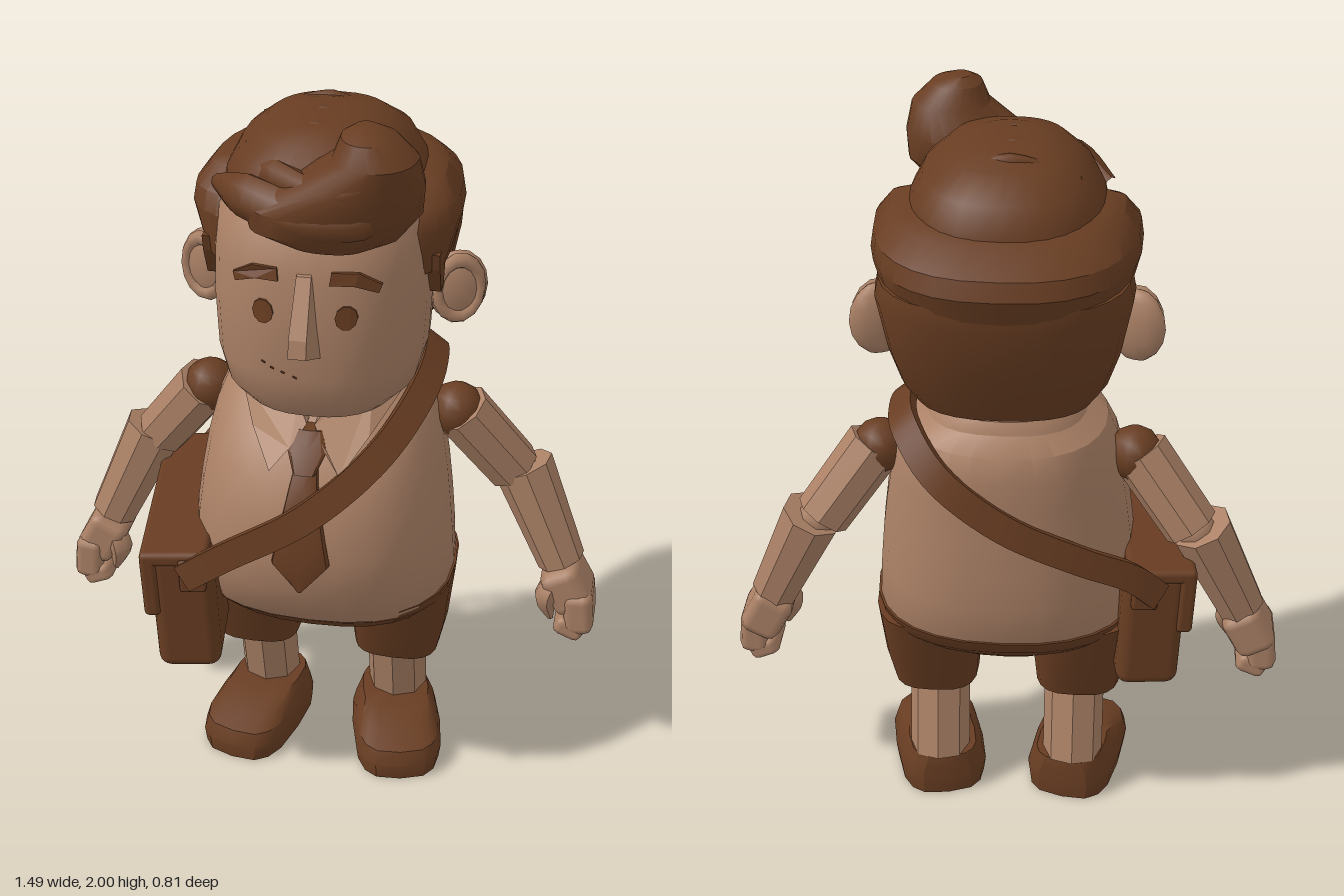
import * as THREE from 'three';
import { toCreasedNormals } from 'three/addons/utils/BufferGeometryUtils.js';
import { RoundedBoxGeometry } from 'three/addons/geometries/RoundedBoxGeometry.js';
import { ConvexGeometry } from 'three/addons/geometries/ConvexGeometry.js';

const tan = new THREE.MeshStandardMaterial({ color: 0xab8166 });
tan.name = 'tan';
const brown = new THREE.MeshStandardMaterial({ color: 0x683d22 });
brown.name = 'brown';
const V = (x, y, z) => new THREE.Vector3(x, y, z);

function mesh(name, geo, mat, pos = [0, 0, 0], rot = [0, 0, 0]) {
  const m = new THREE.Mesh(geo, mat);
  m.name = name;
  m.position.set(...pos);
  m.rotation.set(...rot);
  return m;
}

function indexed(pos, idx) {
  const g = new THREE.BufferGeometry();
  g.setAttribute('position', new THREE.Float32BufferAttribute(pos, 3));
  g.setIndex(idx);
  return toCreasedNormals(g, 0.55);
}

// Solid from rising rings [y, halfWidth, zCentre, frontDepth, backDepth, xCentre]
function loft(rings, n = 28, p = 2.4) {
  const pos = [], idx = [];
  const pw = (v) => Math.sign(v) * Math.pow(Math.abs(v), 2 / p);
  for (const [y, w, zc, df, db, xc = 0] of rings)
    for (let i = 0; i < n; i++) {
      const a = (i / n) * Math.PI * 2, s = pw(Math.sin(a));
      pos.push(xc + w * pw(Math.cos(a)), y, zc + s * (s > 0 ? df : db));
    }
  const last = (rings.length - 1) * n, c = rings.length * n;
  for (const r of [rings[0], rings[rings.length - 1]]) pos.push(r[5] || 0, r[0], r[2]);
  for (let i = 0; i < n; i++) {
    const j = (i + 1) % n;
    for (let r = 0; r < last; r += n) idx.push(r + i, r + n + i, r + j, r + j, r + n + i, r + n + j);
    idx.push(c, i, j, c + 1, last + j, last + i);
  }
  return indexed(pos, idx);
}

// Front z of a lofted solid at x, y
function frontZ(rings, x, y, p = 2.4) {
  let k = 0;
  while (k < rings.length - 2 && rings[k + 1][0] < y) k++;
  const a = rings[k], b = rings[k + 1];
  const t = THREE.MathUtils.clamp((y - a[0]) / (b[0] - a[0]), 0, 1);
  const [, w, zc, df] = a.map((v, i) => v + (b[i] - v) * t);
  return zc + df * Math.pow(Math.max(0, 1 - Math.pow(Math.abs(x) / w, p)), 1 / p);
}

// Thin plate with a 2D outline, wrapped onto the front of a lofted solid
function plate(pts, rings, depth, lift = 0) {
  const shape = new THREE.Shape(pts.map(([x, y]) => new THREE.Vector2(x, y)));
  const g = new THREE.ExtrudeGeometry(shape, { depth, bevelEnabled: false });
  const q = g.attributes.position;
  for (let i = 0; i < q.count; i++)
    q.setZ(i, q.getZ(i) + lift + frontZ(rings, q.getX(i), q.getY(i)));
  g.computeVertexNormals();
  return g;
}

// Tube whose radius follows a list
function lock(points, radii, n = 8, seg = 20) {
  const curve = new THREE.CatmullRomCurve3(points.map((a) => V(...a)));
  const g = new THREE.TubeGeometry(curve, seg, 1, n);
  const q = g.attributes.position, v = V();
  for (let i = 0; i < q.count; i++) {
    const t = Math.floor(i / (n + 1)) / seg, c = curve.getPointAt(t);
    const f = t * (radii.length - 1), k = Math.min(Math.floor(f), radii.length - 2);
    const r = radii[k] + (radii[k + 1] - radii[k]) * (f - k);
    v.fromBufferAttribute(q, i).sub(c).multiplyScalar(r).add(c);
    q.setXYZ(i, v.x, v.y, v.z);
  }
  g.computeVertexNormals();
  return g;
}

// Straight limb between two points
function limb(name, a, b, ra, rb, mat, sides = 8) {
  const A = V(...a), B = V(...b), d = B.clone().sub(A);
  const g = toCreasedNormals(new THREE.CylinderGeometry(rb, ra, d.length(), sides), 0.5);
  const m = mesh(name, g, mat, A.clone().add(B).multiplyScalar(0.5).toArray());
  m.quaternion.setFromUnitVectors(V(0, 1, 0), d.normalize());
  return m;
}

// Flat band following a path around the torso
function band(points, width, thick) {
  const curve = new THREE.CatmullRomCurve3(points.map((a) => V(...a)));
  const pos = [], idx = [], seg = 56;
  for (let i = 0; i <= seg; i++) {
    const P = curve.getPointAt(i / seg), T = curve.getTangentAt(i / seg);
    const N = P.clone().sub(V(0, 0.9, 0));
    N.addScaledVector(T, -N.dot(T)).normalize();
    const B = T.clone().cross(N);
    for (const [b, n] of [[1, 1], [-1, 1], [-1, -1], [1, -1]])
      pos.push(...P.clone().addScaledVector(B, b * width / 2).addScaledVector(N, n * thick / 2).toArray());
    if (i < seg) for (let k = 0; k < 4; k++) {
      const a = 4 * i + k, c = 4 * i + (k + 1) % 4;
      idx.push(a, a + 4, c, c, a + 4, c + 4);
    }
  }
  idx.push(0, 1, 2, 0, 2, 3, 4 * seg, 4 * seg + 2, 4 * seg + 1, 4 * seg, 4 * seg + 3, 4 * seg + 2);
  return indexed(pos, idx);
}

const BODY = [[0.61, 0.345, 0, 0.295, 0.295], [0.63, 0.352, 0, 0.31, 0.305], [0.75, 0.347, 0.02, 0.35, 0.335],
  [0.85, 0.338, 0.02, 0.35, 0.335], [0.95, 0.325, 0.01, 0.345, 0.32], [1.05, 0.308, 0, 0.315, 0.305],
  [1.13, 0.29, -0.02, 0.27, 0.285], [1.2, 0.262, -0.03, 0.2, 0.26], [1.245, 0.2, -0.04, 0.165, 0.21]];
const HEAD = [[1.2, 0.13, 0.05, 0.15, 0.16], [1.225, 0.2, 0.04, 0.225, 0.21], [1.27, 0.245, 0.03, 0.265, 0.25],
  [1.35, 0.265, 0.03, 0.28, 0.27], [1.5, 0.272, 0.03, 0.278, 0.28], [1.62, 0.268, 0.03, 0.268, 0.28],
  [1.72, 0.26, 0.02, 0.25, 0.26], [1.8, 0.22, 0, 0.2, 0.22]];

export function createModel() {
  const g = new THREE.Group();
  g.name = 'figure';
  const add = (...a) => { const m = mesh(...a); g.add(m); return m; };

  // Torso, neck band and shorts
  add('shirt', loft(BODY), tan);
  add('neckBand', loft([[1.17, 0.235, -0.04, 0.2, 0.225], [1.25, 0.205, -0.045, 0.19, 0.205], [1.275, 0.18, -0.05, 0.17, 0.185]]), tan);
  add('hips', loft([[0.465, 0.1, 0, 0.09, 0.1], [0.5, 0.22, 0, 0.17, 0.18], [0.55, 0.31, 0, 0.235, 0.24],
    [0.6, 0.35, 0, 0.285, 0.295], [0.64, 0.358, 0, 0.312, 0.312]]), brown);

  // Tie blade and knot, each a flat loft riding on the shirt front
  const tiePart = (name, rows, thick) => add(name, loft(rows.map(([y, w]) =>
    [y, w, frontZ(BODY, 0, y), thick, 0.03]), 12, 5), brown);
  tiePart('tie', [[0.77, 0.006], [0.85, 0.075], [0.91, 0.063], [0.97, 0.052], [1.05, 0.037], [1.1, 0.028]], 0.022);
  tiePart('tieKnot', [[1.085, 0.03], [1.13, 0.052], [1.17, 0.035]], 0.042);

  // Head and face
  add('head', loft(HEAD, 32), tan);
  add('nose', toCreasedNormals(new ConvexGeometry([-1, 1].flatMap((s) => [V(s * 0.016, 1.64, 0.27), V(s * 0.018, 1.63, 0.302),
    V(s * 0.022, 1.5, 0.38), V(s * 0.022, 1.455, 0.39), V(s * 0.042, 1.415, 0.3), V(s * 0.042, 1.45, 0.27)])), 0.3), tan);
  for (const [x, y] of [[-0.108, 1.39], [-0.085, 1.378], [-0.058, 1.37], [-0.028, 1.36]])
    add('mouthDash', plate([[x, y], [x + 0.01, y - 0.004], [x + 0.011, y - 0.001], [x + 0.001, y + 0.003]], HEAD, 0.004), brown);

  // Hair: back mass, side mass, crown and swept quiff
  add('hairBack', loft([[1.31, 0.225, -0.12, 0.03, 0.17], [1.36, 0.262, -0.12, 0.04, 0.19],
    [1.45, 0.292, -0.12, 0.05, 0.22], [1.6, 0.32, -0.12, 0.08, 0.266], [1.65, 0.31, -0.12, 0.08, 0.265]], 28, 2.5), brown);
  add('hairSides', loft([[1.57, 0.305, 0, 0.185, 0.368], [1.69, 0.335, 0, 0.18, 0.408], [1.735, 0.328, 0, 0.15, 0.39],
    [1.785, 0.29, 0, 0.07, 0.31], [1.8, 0.25, 0, 0.03, 0.26]], 32, 2.5), brown);
  add('hairCrown', loft([[1.74, 0.255, 0, 0.26, 0.3], [1.8, 0.24, 0, 0.265, 0.29], [1.86, 0.208, 0, 0.25, 0.25],
    [1.91, 0.15, 0.01, 0.19, 0.18], [1.932, 0.08, 0.02, 0.1, 0.1]], 32), brown);
  add('quiff', loft([[1.7, 0.09, 0.27, 0.045, 0.06, 0.05], [1.73, 0.18, 0.25, 0.085, 0.1, 0.04], [1.79, 0.215, 0.235, 0.115, 0.12, 0.055],
    [1.86, 0.155, 0.24, 0.12, 0.12, 0.12], [1.93, 0.1, 0.25, 0.11, 0.085, 0.16], [1.98, 0.065, 0.25, 0.08, 0.06, 0.145],
    [2, 0.025, 0.25, 0.03, 0.03, 0.135]], 24, 2.1), brown);
  add('quiffSweep', lock([[-0.25, 1.77, 0.11], [-0.15, 1.79, 0.22], [0, 1.78, 0.29], [0.16, 1.8, 0.29], [0.24, 1.88, 0.24]],
    [0.02, 0.055, 0.06, 0.055, 0.01]), brown);
  add('quiffStrand', lock([[-0.19, 1.84, 0.1], [-0.06, 1.845, 0.23], [0.09, 1.86, 0.33], [0.19, 1.92, 0.31], [0.15, 1.99, 0.25]],
    [0.01, 0.04, 0.03, 0.03, 0.005]), brown);
  for (let i = 0; i < 3; i++)
    add('hairStrand', lock([[-0.18, 1.872, -0.1 + i * 0.1], [-0.02, 1.916, -0.11 + i * 0.1], [0.16, 1.87, -0.08 + i * 0.1]], [0.004, 0.02, 0.004], 6), brown);

  for (const s of [1, -1]) {
    const side = s > 0 ? 'left' : 'right';
    const m = (pts) => (s > 0 ? pts : pts.map(([x, y]) => [-x, y]).reverse());

    // Collar flap
    add(side + 'Collar', plate(m([[0.01, 1.18], [0.045, 1.135], [0.09, 1.085], [0.15, 1.16], [0.21, 1.225], [0.14, 1.25], [0.04, 1.22]]), BODY, 0.034, 0.005), tan);

    // Eye, brow, ear and sideburn
    const eye = Array.from({ length: 10 }, (_, i) => [0.102 + 0.027 * Math.cos(i * Math.PI / 5), 1.528 + 0.031 * Math.sin(i * Math.PI / 5)]);
    add(side + 'Eye', plate(m(eye), HEAD, 0.006), brown);
    add(side + 'Brow', plate(m([[0.062, 1.615], [0.12, 1.612], [0.175, 1.588], [0.182, 1.608], [0.13, 1.642], [0.066, 1.645]]), HEAD, 0.009, 0.004), brown);
    const ear = add(side + 'Ear', new THREE.SphereGeometry(1, 12, 8), tan, [s * 0.325, 1.462, -0.05], [0, s * 0.35, 0]);
    ear.scale.set(0.078, 0.1, 0.036);
    const rim = add(side + 'EarRim', new THREE.TorusGeometry(0.065, 0.018, 6, 14), tan, [s * 0.33, 1.465, -0.03], [0, s * 0.35, 0]);
    rim.scale.set(0.85, 1.2, 1);
    add(side + 'Sideburn', new ConvexGeometry([0.25, 0.297].flatMap((x) => [V(s * x, 1.62, -0.02), V(s * x, 1.62, 0.11),
      V(s * x, 1.575, 0.1), V(s * x, 1.5, 0.065), V(s * x, 1.5, 0.02)])), brown);

    // Arm
    add(side + 'Shoulder', new THREE.SphereGeometry(0.074, 10, 8), brown, [s * 0.334, 1.093, -0.06]);
    g.add(limb(side + 'UpperArm', [s * 0.347, 1.096, -0.057], [s * 0.49, 0.9, -0.11], 0.078, 0.075, tan));
    add(side + 'Elbow', new THREE.SphereGeometry(0.055, 8, 6), tan, [s * 0.5, 0.895, -0.115]);
    g.add(limb(side + 'Forearm', [s * 0.515, 0.905, -0.115], [s * 0.64, 0.63, -0.08], 0.083, 0.066, tan));

    // Hand
    const hand = new THREE.Group();
    hand.name = side + 'Hand';
    hand.add(mesh('palm', new RoundedBoxGeometry(0.115, 0.14, 0.16, 1, 0.03), tan, [s * 0.662, 0.57, -0.07], [0, 0, s * 0.5]));
    hand.add(mesh('knuckles', new RoundedBoxGeometry(0.08, 0.13, 0.16, 1, 0.025), tan, [s * 0.7, 0.508, -0.06], [0, 0, s * 0.1]));
    hand.add(mesh('fingertips', new RoundedBoxGeometry(0.085, 0.055, 0.15, 1, 0.02), tan, [s * 0.678, 0.453, -0.06], [0, 0, -s * 0.4]));
    hand.add(mesh('thumb', lock([[s * 0.645, 0.61, -0.04], [s * 0.61, 0.55, -0.015], [s * 0.625, 0.475, -0.015]], [0.03, 0.036, 0.008], 6, 8), tan));
    g.add(hand);

    // Leg and shoe
    add(side + 'ShortsLeg', loft([[0.35, 0.118, -0.02, 0.11, 0.13, s * 0.2], [0.45, 0.133, -0.02, 0.145, 0.16, s * 0.206],
      [0.62, 0.147, -0.01, 0.19, 0.22, s * 0.21]], 20, 3), brown);
    g.add(limb(side + 'Knee', [s * 0.19, 0.38, -0.03], [s * 0.19, 0.3, -0.06], 0.045, 0.045, tan));
    g.add(limb(side + 'Shin', [s * 0.19, 0.335, -0.052], [s * 0.19, 0.11, -0.105], 0.084, 0.084, tan));
    add(side + 'Shoe', loft([[0, 0.122, 0, 0.2, 0.183], [0.045, 0.128, 0, 0.203, 0.185], [0.085, 0.118, 0, 0.185, 0.18],
      [0.108, 0.104, -0.03, 0.14, 0.148], [0.125, 0.095, -0.06, 0.09, 0.113]], 16, 3.2), brown, [s * 0.203, 0, 0], [0, s * 0.22, 0]);
  }

  // Shoulder bag: local x is thickness, outer face towards -x
  const bag = new THREE.Group();
  bag.name = 'bag';
  bag.position.set(-0.356, 0.635, 0.07);
  bag.rotation.set(0, 0.14, 0.04);
  bag.add(mesh('bagBody', new RoundedBoxGeometry(0.17, 0.37, 0.6, 2, 0.035), brown));
  bag.add(mesh('bagFlap', new RoundedBoxGeometry(0.045, 0.19, 0.61, 2, 0.015), brown, [-0.085, 0.09, 0]));
  bag.add(mesh('bagLid', new RoundedBoxGeometry(0.18, 0.04, 0.61, 2, 0.015), brown, [-0.017, 0.175, 0]));
  for (const z of [-0.16, 0.16])
    bag.add(mesh('bagBuckle', new RoundedBoxGeometry(0.03, 0.12, 0.05, 1, 0.008), brown, [-0.1, 0.02, z]));
  for (const z of [-0.3, 0.3])
    bag.add(mesh('strapTab', new RoundedBoxGeometry(0.07, 0.1, 0.03, 1, 0.01), brown, [0.03, 0.13, z]));
  g.add(bag);

  // Strap over the left shoulder
  add('strap', band([[-0.31, 0.765, 0.38], [-0.2, 0.84, 0.37], [0, 0.98, 0.375], [0.12, 1.07, 0.31], [0.2, 1.14, 0.215],
    [0.262, 1.215, 0.05], [0.268, 1.235, -0.08], [0.25, 1.23, -0.19], [0.165, 1.145, -0.295], [0, 1.02, -0.325],
    [-0.2, 0.91, -0.3], [-0.33, 0.84, -0.265], [-0.41, 0.76, -0.235]], 0.075, 0.025), brown);
  return g;
}
